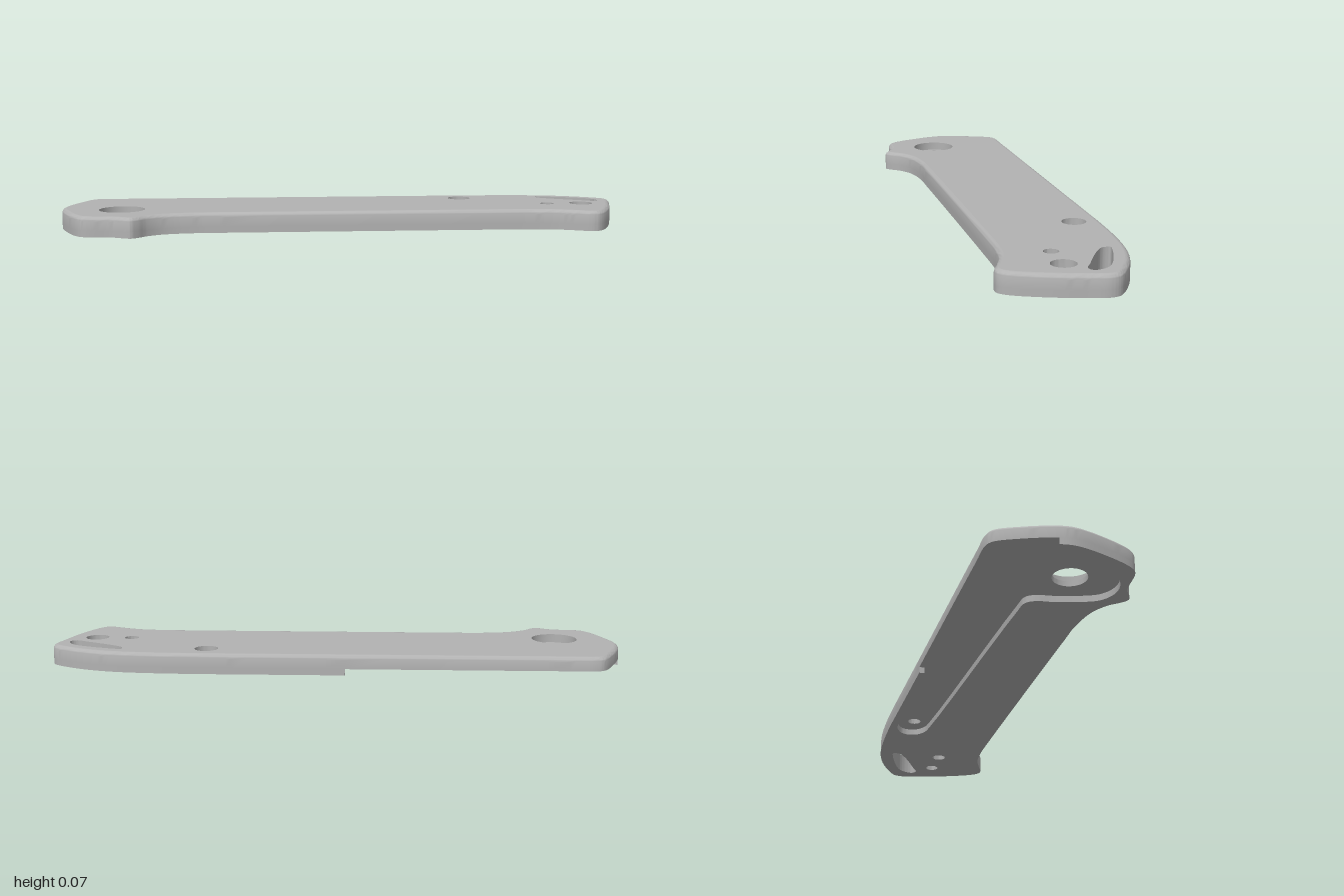
import * as THREE from 'three';
import { toCreasedNormals } from 'three/addons/utils/BufferGeometryUtils.js';

const H = 0.07;        // total thickness
const POCKET = 0.022;  // depth of the underside pocket
const SEAT = 0.04;     // height of the counterbore floors
const FILLET = 0.017;  // rounding of the top edge
const STEPS = 6;       // curve samples per control point

// Plan points are [x, z]; they become Vector2(x, -z) so that y points to the back.
const plan = (pts) => pts.map(([x, z]) => new THREE.Vector2(x, -z));

function smooth(pts, closed) {
  const curve = new THREE.CatmullRomCurve3(
    pts.map(([x, z]) => new THREE.Vector3(x, -z, 0)), closed, 'centripetal');
  const n = (closed ? pts.length : pts.length - 1) * STEPS;
  const out = curve.getPoints(n).map((p) => new THREE.Vector2(p.x, p.y));
  if (closed) out.pop();
  return out;
}

// Clockwise circle, so that its wall faces the hole's axis
function circle(x, z, r, n = 40) {
  return Array.from({ length: n }, (_, i) => {
    const a = -i / n * Math.PI * 2;
    return new THREE.Vector2(x + r * Math.cos(a), -z + r * Math.sin(a));
  });
}

// Moves a closed counter-clockwise loop inwards
function inset(loop, d) {
  const n = loop.length;
  return loop.map((p, i) => {
    const t = loop[(i + 1) % n].clone().sub(loop[(i + n - 1) % n]).normalize();
    return new THREE.Vector2(p.x - t.y * d, p.y + t.x * d);
  });
}

// Joins closed loops, listed from bottom to top, into a wall
function wall(rings) {
  const pos = [], idx = [], n = rings[0].loop.length;
  for (const { loop, y } of rings) for (const p of loop) pos.push(p.x, y, -p.y);
  for (let j = 0; j < rings.length - 1; j++) {
    for (let i = 0; i < n; i++) {
      const a = j * n + i, b = j * n + (i + 1) % n;
      idx.push(a, b, b + n, a, b + n, a + n);
    }
  }
  const g = new THREE.BufferGeometry();
  g.setAttribute('position', new THREE.Float32BufferAttribute(pos, 3));
  g.setIndex(idx);
  return toCreasedNormals(g, 0.6);
}
const band = (loop, y0, y1) => wall([{ loop, y: y0 }, { loop, y: y1 }]);

// Flat face with holes, facing up or down
function face(loop, holes, y, down = false) {
  const shape = new THREE.Shape(loop);
  shape.holes = holes.map((h) => new THREE.Path(h));
  const g = new THREE.ShapeGeometry(shape);
  g.rotateX(-Math.PI / 2).translate(0, y, 0);
  if (down) {
    g.index.array.reverse();
    g.computeVertexNormals();
  }
  return g;
}

export function createModel() {
  const group = new THREE.Group();
  const grey = new THREE.MeshStandardMaterial({ color: 0xb2b2b2, side: THREE.DoubleSide });
  grey.name = 'grey';
  const add = (name, geometry) => {
    const mesh = new THREE.Mesh(geometry, grey);
    mesh.name = name;
    group.add(mesh);
  };

  // Handle outline: left end, front, right end, then back
  const outer = [
    [-0.996, -0.06], [-1, -0.01], [-0.976, 0.08], [-0.925, 0.19], [-0.896, 0.213],
    [-0.8, 0.226], [-0.76, 0.247], [-0.737, 0.255], [-0.712, 0.237], [-0.687, 0.208],
    [-0.63, 0.174], [-0.52, 0.154], [-0.42, 0.153], [0.55, 0.156], [0.645, 0.158],
    [0.735, 0.169], [0.8, 0.193], [0.848, 0.213], [0.874, 0.211], [0.9, 0.187],
    [0.955, 0.065], [0.982, -0.03], [0.998, -0.095], [0.99, -0.127], [0.965, -0.15],
    [0.885, -0.195], [0.8, -0.225], [0.714, -0.241], [0.59, -0.251], [0.445, -0.255],
    [0.35, -0.255], [-0.04, -0.255], [-0.8, -0.255], [-0.89, -0.254], [-0.92, -0.241],
    [-0.96, -0.165],
  ];
  const outline = smooth(outer, true);

  // Underside land: the outline up to the pocket mouth, closed by the pocket's edge
  const mouth = outer.findIndex(([x, z]) => x === -0.04 && z < 0) * STEPS;
  const land = [
    ...outline.slice(0, mouth + 1),
    ...plan([[-0.04, -0.236]]),
    ...smooth([
      [0.02, -0.236], [0.4, -0.23], [0.48, -0.222], [0.525, -0.19], [0.525, -0.145],
      [0.49, -0.115], [0.42, -0.105], [-0.56, -0.058], [-0.63, -0.05], [-0.652, -0.02],
      [-0.66, 0.03], [-0.685, 0.12], [-0.71, 0.17], [-0.75, 0.196], [-0.8, 0.2],
      [-0.855, 0.175], [-0.93, 0.065], [-0.977, -0.045],
    ], false),
  ];

  // Openings; "seat" is the counterbore radius, "low" the underside level there
  const holes = [
    { name: 'pivotHole', x: -0.785, z: 0.045, r: 0.056, seat: 0.08, low: POCKET },
    { name: 'backScrewHole', x: 0.445, z: -0.165, r: 0.024, seat: 0.041, low: POCKET },
    { name: 'endScrewHole', x: 0.865, z: 0.005, r: 0.024, seat: 0.041, low: 0 },
    { name: 'pinHole', x: 0.74, z: 0.005, r: 0.025, low: 0 },
  ];
  for (const h of holes) {
    h.bore = circle(h.x, h.z, h.r);
    h.mouth = h.seat ? circle(h.x, h.z, h.seat) : h.bore;
  }
  const slot = smooth([
    [0.742, -0.184], [0.767, -0.182], [0.91, -0.128], [0.94, -0.095], [0.945, -0.062],
    [0.925, -0.05], [0.885, -0.07], [0.778, -0.128], [0.742, -0.158],
  ], true);

  // Outer side with its rounded top edge
  const rings = [{ loop: outline, y: POCKET }];
  for (let i = 0; i <= 6; i++) {
    const a = i / 6 * Math.PI / 2;
    rings.push({
      loop: inset(outline, FILLET * (1 - Math.cos(a))),
      y: H - FILLET + FILLET * Math.sin(a),
    });
  }
  add('roundedSide', wall(rings));
  add('topFace', face(rings.at(-1).loop, [...holes.map((h) => h.mouth), slot], H));

  // Underside land and pocket
  const landHoles = holes.filter((h) => h.low === 0).map((h) => h.bore);
  add('landSide', band(land, 0, POCKET));
  add('landFace', face(land, [...landHoles, slot], 0, true));
  add('pocketFloor', face(outline, [...holes.map((h) => h.bore), slot], POCKET, true));

  // Hole walls and counterbore seats
  for (const h of holes) {
    add(h.name, band(h.bore, h.low, h.seat ? SEAT : H));
    if (h.seat) {
      add(h.name + 'Counterbore', band(h.mouth, SEAT, H));
      add(h.name + 'Seat', face(h.mouth.slice().reverse(), [h.bore], SEAT));
    }
  }
  add('lanyardSlot', band(slot, 0, H));

  return group;
}
